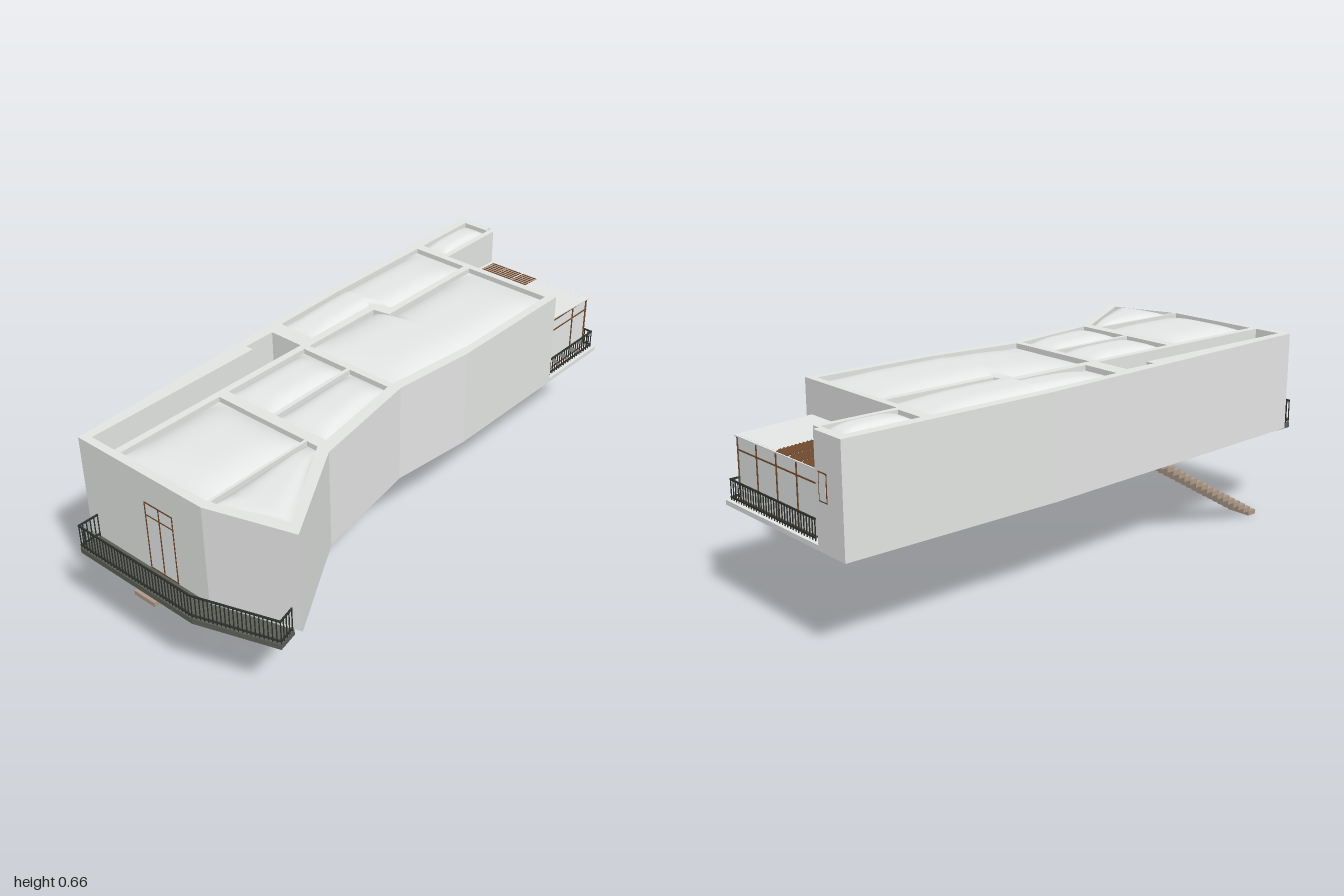
import * as THREE from 'three';
import { mergeGeometries } from 'three/addons/utils/BufferGeometryUtils.js';

const mat = (name, color, side = THREE.FrontSide) => {
  const m = new THREE.MeshStandardMaterial({ color, side });
  m.name = name;
  return m;
};

// Cells of the roof and floor grid, as rows of [z, left x, right x]
const CELLS = {
  tower: [[-0.97, -0.40, -0.295], [-0.715, -0.40, -0.295]],
  sideLong: [[-0.68, -0.40, -0.185], [-0.275, -0.40, -0.185], [-0.255, -0.40, -0.25], [0.05, -0.39, -0.25]],
  middle: [[-0.68, -0.16, 0.17], [-0.235, -0.16, 0.17], [-0.225, -0.22, 0.168], [0.095, -0.22, 0.135]],
  waistRight: [[0.12, -0.22, -0.035], [0.46, -0.22, -0.03]],
  waistLeft: [[0.12, -0.022, 0.135], [0.46, -0.014, 0.187]],
  frontRight: [[0.5, -0.22, 0.138], [0.892, -0.22, 0.138]],
  frontLeft: [[0.5, 0.148, 0.19], [0.81, 0.148, 0.38], [0.885, 0.148, 0.16]],
};
const outlineOf = rows => [...rows.map(r => [r[1], r[0]]), ...rows.map(r => [r[2], r[0]]).reverse()];

// Horizontal slab from an [x, z] outline between two heights; holes wind against the outline
function slab(points, y0, y1, holes = []) {
  const toV = p => p.map(([x, z]) => new THREE.Vector2(x, -z));
  const shape = new THREE.Shape(toV(points));
  holes.forEach(h => shape.holes.push(new THREE.Path(toV(h))));
  const g = new THREE.ExtrudeGeometry(shape, { depth: y1 - y0, bevelEnabled: false });
  return g.rotateX(-Math.PI / 2).translate(0, y0, 0);
}

const box = (x0, x1, y0, y1, z0, z1) =>
  new THREE.BoxGeometry(x1 - x0, y1 - y0, z1 - z0).translate((x0 + x1) / 2, (y0 + y1) / 2, (z0 + z1) / 2);

// Softly bulging cushion filling a cell
function cushion(rows, rim, bulge) {
  const n = 20, z0 = rows[0][0], z1 = rows.at(-1)[0];
  const zs = [...new Set([...rows.map(r => r[0]), ...Array.from({ length: n - 1 }, (_, i) => z0 + (z1 - z0) * (i + 1) / n)])]
    .sort((a, b) => a - b);
  const dome = t => 1 - Math.abs(2 * t - 1) ** 4;
  const pos = [], idx = [];
  zs.forEach((z, i) => {
    let k = 0;
    while (k < rows.length - 2 && z > rows[k + 1][0]) k++;
    const [a, b] = [rows[k], rows[k + 1]], t = (z - a[0]) / (b[0] - a[0]);
    const xl = a[1] + (b[1] - a[1]) * t, xr = a[2] + (b[2] - a[2]) * t;
    for (let j = 0; j <= n; j++) {
      pos.push(xl + (xr - xl) * j / n, rim + bulge * dome(j / n) * dome((z - z0) / (z1 - z0)), z);
      if (i < zs.length - 1 && j < n) {
        const p = i * (n + 1) + j, q = p + n + 1;
        idx.push(p, q, p + 1, p + 1, q, q + 1);
      }
    }
  });
  const g = new THREE.BufferGeometry();
  g.setAttribute('position', new THREE.Float32BufferAttribute(pos, 3));
  g.setIndex(idx);
  g.computeVertexNormals();
  return g;
}

// Railing along a path of [x, z] points: two rails and thin balusters
function railing(path, y0, y1, step) {
  const parts = [];
  for (let i = 0; i < path.length - 1; i++) {
    const [ax, az] = path[i], [bx, bz] = path[i + 1];
    const len = Math.hypot(bx - ax, bz - az), turn = -Math.atan2(bz - az, bx - ax);
    for (const y of [y0 + 0.01, y1 - 0.003])
      parts.push(new THREE.BoxGeometry(len + 0.004, 0.005, 0.005).rotateY(turn).translate((ax + bx) / 2, y, (az + bz) / 2));
    const n = Math.round(len / step);
    for (let k = 0; k <= n; k++) {
      const t = k / n;
      parts.push(new THREE.BoxGeometry(0.0028, y1 - y0, 0.0028).rotateY(turn)
        .translate(ax + (bx - ax) * t, (y0 + y1) / 2, az + (bz - az) * t));
    }
  }
  return mergeGeometries(parts);
}

export function createModel() {
  const model = new THREE.Group();
  model.name = 'raisedPavilion';
  const wall = mat('paleConcrete', 0xe3e5e3);
  const light = mat('lightPanel', 0xe9ebea, THREE.DoubleSide);
  const timber = mat('greyTimber', 0xab9a89);
  const darkTimber = mat('redBrownTimber', 0x83605a);
  const brown = mat('brownFrame', 0x704a2e);
  const deck = mat('darkDeck', 0x5c5f56);
  const iron = mat('blackIron', 0x2e322e);
  const add = (name, geometry, material) => {
    const m = new THREE.Mesh(geometry, material);
    m.name = name;
    model.add(m);
    return m;
  };

  // Shell with open grid cells and stairwell
  const outline = [[-0.435, -1], [-0.305, -1], [-0.305, -0.98], [-0.275, -0.98], [-0.275, -0.705], [0.2, -0.705],
    [0.2, -0.2], [0.17, 0.1], [0.235, 0.5], [0.432, 0.835], [0.147, 0.922], [-0.375, 0.922], [-0.435, -0.24]];
  const stairwell = [[-0.375, 0.11], [-0.375, 0.23], [-0.345, 0.23], [-0.345, 0.895], [-0.245, 0.895], [-0.245, 0.11]];
  add('shell', slab(outline, 0.31, 0.655, [...Object.values(CELLS).map(outlineOf), stairwell]), wall);

  // Roof cushions and the panels under the floor
  for (const [name, rows] of Object.entries(CELLS)) {
    add(name + 'RoofCushion', cushion(rows, 0.637, 0.027), light);
    add(name + 'FloorPanel', slab(outlineOf(rows), 0.299, 0.314), name === 'middle' ? darkTimber : timber);
  }

  // Stairs and landing
  add('landing', box(-0.375, -0.245, 0.297, 0.311, 0.11, 0.278), timber);
  const steps = [];
  const N = 18, rise = 0.306 / N, run = 0.525 / N;
  for (let i = 0; i < N; i++)
    steps.push(box(-0.343, -0.246, i * rise, (i + 1) * rise, 0.82 - (i + 1) * run - 0.006, 0.82 - i * run));
  add('stairs', mergeGeometries(steps), timber);

  // Front balcony
  add('frontBalcony', slab([[-0.335, 0.922], [0.147, 0.922], [0.408, 0.843], [0.423, 0.912], [0.155, 1], [-0.335, 1]], 0.29, 0.309), deck);
  add('frontRailing', railing([[-0.333, 0.925], [-0.333, 0.996], [0.154, 0.996], [0.421, 0.909], [0.407, 0.85]], 0.309, 0.394, 0.0135), iron);

  // Front door
  add('doorGlass', box(-0.1, 0.02, 0.311, 0.555, 0.92, 0.9228), light);
  const door = [-0.098, -0.04, 0.018].map(x => box(x - 0.002, x + 0.002, 0.311, 0.556, 0.92, 0.9242));
  [0.313, 0.51, 0.554].forEach(y => door.push(box(-0.1, 0.02, y - 0.002, y + 0.002, 0.92, 0.924)));
  add('doorFrame', mergeGeometries(door), brown);

  // Back terrace floor and railing
  add('terraceFloor', box(-0.305, 0.2, 0.31, 0.325, -1, -0.705), wall);
  add('terraceFloorPanel', box(-0.255, 0.17, 0.299, 0.311, -0.97, -0.715), timber);
  add('terraceRailing', railing([[-0.272, -0.987], [0.187, -0.987], [0.187, -0.71]], 0.325, 0.393, 0.0145), iron);

  // Glazed terrace room
  add('terraceBackGlass', box(-0.275, 0.163, 0.325, 0.53, -0.968, -0.964), light);
  add('terraceSideGlass', box(0.159, 0.163, 0.325, 0.53, -0.968, -0.705), light);
  const frame = [];
  for (const x of [-0.268, -0.16, -0.052, 0.056, 0.163]) frame.push(box(x - 0.002, x + 0.002, 0.325, 0.528, -0.971, -0.963));
  for (const z of [-0.88, -0.71]) frame.push(box(0.158, 0.166, 0.325, 0.528, z - 0.002, z + 0.002));
  for (const y of [0.328, 0.485, 0.526]) {
    frame.push(box(-0.272, 0.165, y - 0.002, y + 0.002, -0.971, -0.963));
    frame.push(box(0.158, 0.166, y - 0.002, y + 0.002, -0.971, -0.705));
  }
  add('terraceFrame', mergeGeometries(frame), brown);

  // Sloping terrace roof with three bays of louvres
  const slope = 0.05, zMid = -0.84;
  add('terraceRoof', new THREE.BoxGeometry(0.445, 0.004, 0.27).rotateX(-slope).translate(-0.0525, 0.534, zMid), light);
  const louvres = [];
  for (const [x0, x1] of [[-0.255, -0.196], [-0.189, -0.129], [-0.12, -0.06]])
    for (let i = 0; i < 20; i++) {
      const z = -0.964 + i * 0.013;
      louvres.push(new THREE.BoxGeometry(x1 - x0, 0.003, 0.0145).rotateX(-0.45)
        .translate((x0 + x1) / 2, 0.539 + (z - zMid) * slope, z));
    }
  add('terraceLouvres', mergeGeometries(louvres), brown);

  // Small window in the tower
  add('towerWindowFrame', box(-0.361, -0.321, 0.457, 0.543, -1.001, -0.998), brown);
  add('towerWindowGlass', box(-0.357, -0.325, 0.461, 0.539, -1.0018, -0.999), light);
  return model;
}
